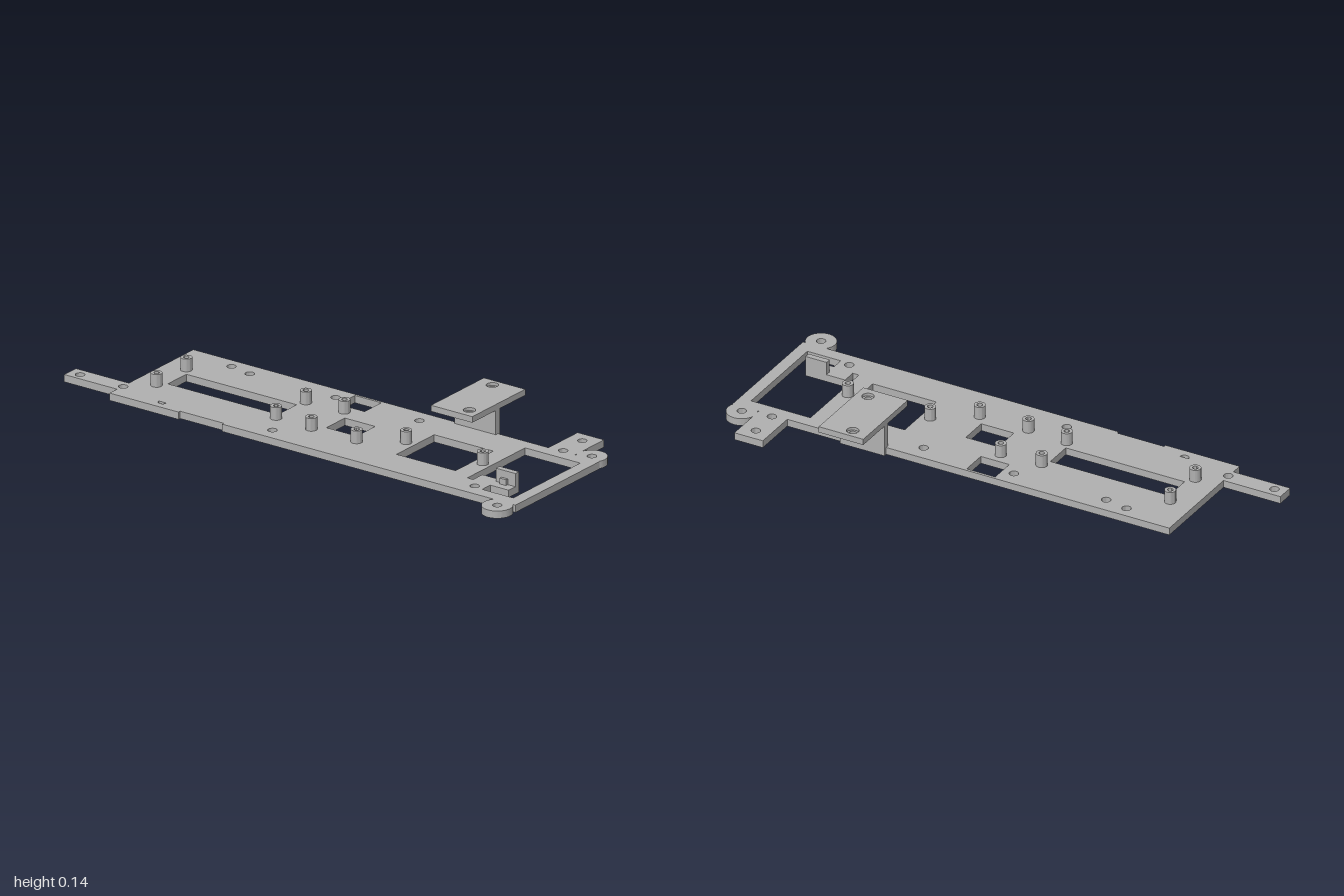
import * as THREE from 'three';
import { toCreasedNormals } from 'three/addons/utils/BufferGeometryUtils.js';

const T = 0.028; // base plate thickness

const grey = new THREE.MeshStandardMaterial({ color: 0xb0b0b0 });
grey.name = 'plain grey';

// Plan shapes are drawn with (x, z); shape y is -z so the extrusion rises along +y.
const points = (list) => list.map(([x, z]) => new THREE.Vector2(x, -z));
const rect = (x0, x1, z0, z1) => points([[x0, z0], [x0, z1], [x1, z1], [x1, z0]]);
const circle = (x, z, r, Kind = THREE.Path) => new Kind().absarc(x, -z, r, 0, Math.PI * 2, false);

function slab(name, shape, y0, y1) {
  const geo = new THREE.ExtrudeGeometry(shape, { depth: y1 - y0, bevelEnabled: false, curveSegments: 16 });
  geo.rotateX(-Math.PI / 2);
  geo.translate(0, y0, 0);
  const mesh = new THREE.Mesh(toCreasedNormals(geo, 0.6), grey);
  mesh.name = name;
  return mesh;
}

function box(name, x0, x1, y0, y1, z0, z1) {
  const mesh = new THREE.Mesh(new THREE.BoxGeometry(x1 - x0, y1 - y0, z1 - z0), grey);
  mesh.position.set((x0 + x1) / 2, (y0 + y1) / 2, (z0 + z1) / 2);
  mesh.name = name;
  return mesh;
}

const standoffs = [
  [-0.68, -0.045], [-0.68, 0.133], [-0.16, -0.045], [-0.16, 0.133], [0, -0.055],
  [0, 0.142], [0.197, 0.142], [0.342, 0.045], [0.675, 0.045],
];
const screwHoles = [
  [-0.955, 0.212], [-0.768, 0.212], [-0.57, -0.163], [-0.478, -0.146], [-0.105, -0.146],
  [-0.105, 0.23], [0.26, -0.146], [0.775, 0.23], [0.832, -0.333], [0.832, -0.219],
  [0.944, -0.237], [0.944, 0.327],
];

function basePlate() {
  const s = new THREE.Shape();
  const line = (list) => list.forEach(([x, z]) => s.lineTo(x, -z));
  // front edge with its shallow recess
  s.moveTo(-0.77, 0.29);
  s.moveTo(-0.77, -0.29);
  line([[-0.47, 0.29], [-0.47, 0.28], [-0.28, 0.28], [-0.28, 0.29], [0.902, 0.29]]);
  // front ear, end rail, back ear
  s.absarc(0.944, -0.327, 0.056, 2.42, 0.72 + Math.PI * 2, false);
  line([[0.996, 0.29], [0.996, -0.21]]);
  s.absarc(0.944, 0.237, 0.056, -0.5, Math.PI + 0.5, false);
  // back tab, bracket foot, back edge and end arm
  line([
    [0.89, -0.21], [0.89, -0.384], [0.775, -0.384], [0.775, -0.21],
    [0.555, -0.21], [0.555, -0.223], [0.375, -0.223], [0.375, -0.21],
    [-0.77, -0.21], [-0.77, 0.175], [-1, 0.175], [-1, 0.245], [-0.77, 0.245],
  ]);
  s.closePath();

  // rectangular windows
  const windows = [
    rect(-0.655, -0.175, -0.01, 0.1),
    rect(-0.06, 0.055, -0.2, -0.1),
    rect(0.035, 0.167, -0.01, 0.1),
    rect(0.38, 0.637, -0.07, 0.155),
    // end opening, cut around the inner tongue
    points([
      [0.71, -0.16], [0.95, -0.16], [0.95, 0.24], [0.815, 0.24], [0.815, 0.192],
      [0.895, 0.192], [0.895, 0.13], [0.735, 0.13], [0.735, 0.185], [0.71, 0.185],
    ]),
  ];
  windows.forEach((w) => s.holes.push(new THREE.Path(w)));
  screwHoles.forEach(([x, z]) => s.holes.push(circle(x, z, 0.017)));
  standoffs.forEach(([x, z]) => s.holes.push(circle(x, z, 0.01)));
  // half-round hole near the front edge
  const half = new THREE.Path();
  half.absarc(-0.57, -0.247, 0.017, Math.PI, Math.PI * 2, false);
  half.closePath();
  s.holes.push(half);
  return slab('basePlate', s, 0, T);
}

function bracket() {
  const g = new THREE.Group();
  g.name = 'raisedBracket';
  g.add(box('bracketWeb', 0.375, 0.555, T, 0.12, -0.223, -0.197));
  // shelf in two layers so its screw holes are counterbored
  [[0.12, 0.132, 0.014], [0.132, 0.143, 0.022]].forEach(([y0, y1, r]) => {
    const shelf = new THREE.Shape(rect(0.375, 0.555, -0.373, -0.057));
    shelf.holes.push(circle(0.438, -0.337, r), circle(0.51, -0.102, r));
    g.add(slab('bracketShelf', shelf, y0, y1));
  });
  return g;
}

export function createModel() {
  const model = new THREE.Group();
  model.name = 'chassisPlate';
  model.add(basePlate(), bracket());

  // hollow standoffs
  standoffs.forEach(([x, z]) => {
    const ring = circle(x, z, 0.021, THREE.Shape);
    ring.holes.push(circle(x, z, 0.01));
    model.add(slab('standoff', ring, T, 0.076));
  });

  // small upright stop with its foot on the inner tongue
  model.add(box('stopWall', 0.81, 0.895, T, 0.078, 0.13, 0.152));
  model.add(box('stopFoot', 0.835, 0.862, T, 0.05, 0.152, 0.163));
  return model;
}
